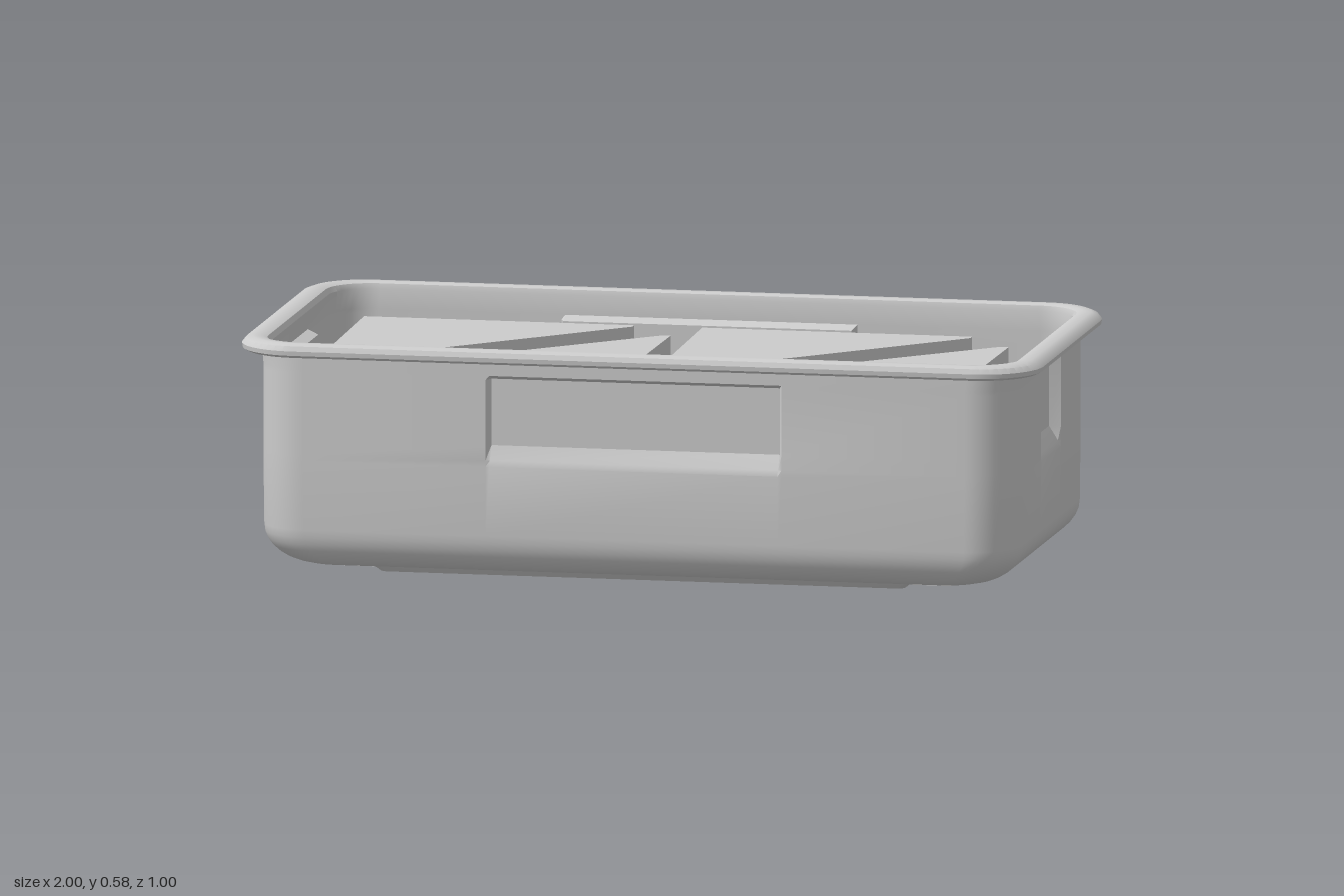
import * as THREE from 'three';
import { toCreasedNormals } from 'three/addons/utils/BufferGeometryUtils.js';

const grey = new THREE.MeshStandardMaterial({ color: 0xcccccc });

// Rounded-rectangle loop in the xz plane; grips push part of each side inwards
function ring({ hx, hz, r, y, grip = 0 }) {
  const points = [];
  const sides = [
    { length: hz, out: hx, grip: [0.113, 0.123] },
    { length: hx, out: hz, grip: [0.36, 0.37] },
  ];
  for (let s = 0; s < 4; s++) {
    const { length, out, grip: [a, b] } = sides[s % 2];
    const local = [[out, -b, 0], [out, -a, 1], [out, a, 1], [out, b, 0]]
      .map(([o, u, k]) => [o - k * grip, u]);
    for (let i = 0; i <= 10; i++) {
      const t = (i / 10) * Math.PI / 2;
      local.push([out - r + r * Math.cos(t), length - r + r * Math.sin(t)]);
    }
    // Turn the side by quarter turns about y
    for (const [o, u] of local) {
      points.push([[o, y, u], [-u, y, o], [-o, y, -u], [u, y, -o]][s]);
    }
  }
  return points;
}

// Skin between neighbouring loops, closed with a fan at both ends
function loft(rings) {
  const pos = [];
  const n = rings[0].length;
  const tri = (a, b, c) => pos.push(...a, ...b, ...c);
  const last = rings[rings.length - 1];
  for (let j = 0; j < n; j++) {
    const k = (j + 1) % n;
    tri([0, rings[0][0][1], 0], rings[0][j], rings[0][k]);
    for (let i = 0; i < rings.length - 1; i++) {
      tri(rings[i][j], rings[i + 1][j], rings[i][k]);
      tri(rings[i][k], rings[i + 1][j], rings[i + 1][k]);
    }
    tri([0, last[0][1], 0], last[k], last[j]);
  }
  const geometry = new THREE.BufferGeometry();
  geometry.setAttribute('position', new THREE.Float32BufferAttribute(pos, 3));
  return toCreasedNormals(geometry, 0.55);
}

// One skin of the tub from the floor panel up to below the rim
function skin(inset, lift) {
  const rows = [
    { hx: 0.62, hz: 0.34, r: 0.015, y: 0.014 + lift },
    { hx: 0.635, hz: 0.35, r: 0.015, y: lift },
    { hx: 0.655, hz: 0.367, r: 0.02, y: lift },
    { hx: 0.675, hz: 0.382, r: 0.025, y: 0.016 + lift },
  ];
  // Soft curve from floor to wall
  for (let i = 0; i <= 8; i++) {
    const t = (i / 8) * Math.PI / 2;
    rows.push({
      hx: 0.82 + 0.125 * Math.sin(t) - inset,
      hz: 0.395 + 0.073 * Math.sin(t) - inset,
      r: 0.08 + 0.04 * Math.sin(t) - inset,
      y: 0.017 + 0.095 * (1 - Math.cos(t)) + lift,
    });
  }
  // Straight wall with the sunken grips
  for (const [y, grip] of [[0.285, 0], [0.3, 0.006], [0.335, 0.028], [0.5, 0.028], [0.511, 0]]) {
    rows.push({ hx: 0.947 - inset, hz: 0.47 - inset, r: 0.12 - inset, y, grip });
  }
  return rows;
}

function makeTub() {
  const rim = [[0, 0.543], [0.022, 0.543], [0.029, 0.549], [0.03, 0.56], [0.024, 0.572],
    [0.014, 0.578], [0, 0.578], [-0.008, 0.573], [-0.012, 0.56]].map(([o, y]) => ({
    hx: 0.95 + o * 1.66, hz: 0.47 + o, r: 0.12 + o, y,
  }));
  const rows = [...skin(0, 0), ...rim, ...skin(0.012, 0.012).reverse()];
  const mesh = new THREE.Mesh(loft(rows.map(ring)), grey);
  mesh.name = 'tub';
  return mesh;
}

// Triangular slice with blunted tips, its top at y = 0
function sliceGeometry(corners, thickness, scale) {
  const [a, b, c] = corners.map(([x, z]) => new THREE.Vector2(x, z));
  const centre = a.clone().add(b).add(c).divideScalar(3);
  const tip = 0.03;
  const outline = [
    a, b.clone().lerp(a, tip), b.clone().lerp(c, tip),
    c.clone().lerp(b, tip), c.clone().lerp(a, tip),
  ].map((p) => p.sub(centre).multiplyScalar(scale));
  const geometry = new THREE.ExtrudeGeometry(new THREE.Shape(outline), {
    depth: thickness, bevelEnabled: false,
  });
  geometry.rotateX(Math.PI / 2);
  return { geometry, centre };
}

// Stack of bread slices with thinner fillings between them
function makeSandwich(name, corners, top) {
  const group = new THREE.Group();
  group.name = name;
  const layers = 11;
  const pair = (top - 0.03) / 6;
  let y = top;
  for (let i = 0; i < layers; i++) {
    const bread = i % 2 === 0;
    const thickness = bread ? pair * 0.75 : pair * 0.35;
    const { geometry, centre } = sliceGeometry(corners, thickness, bread ? 1 : 0.975);
    const mesh = new THREE.Mesh(geometry, grey);
    mesh.name = bread ? 'breadSlice' : 'filling';
    mesh.position.set(centre.x, y, centre.y);
    mesh.rotation.y = 0.008 * Math.sin(i * 2.3);
    group.add(mesh);
    y -= thickness;
  }
  return group;
}

export function createModel() {
  const model = new THREE.Group();
  model.name = 'sandwichTub';
  model.add(makeTub());

  // Two pairs of sandwich halves side by side
  for (const [side, dx] of [['right', 0], ['left', 0.845]]) {
    const shift = (points) => points.map(([x, z]) => [x + dx, z]);
    model.add(makeSandwich(`${side}BackSandwich`,
      shift([[-0.84, -0.345], [-0.145, -0.345], [-0.825, 0.345]]), 0.51));
    model.add(makeSandwich(`${side}FrontSandwich`,
      shift([[-0.07, 0.365], [-0.765, 0.365], [-0.065, -0.32]]), 0.495));
  }
  return model;
}
